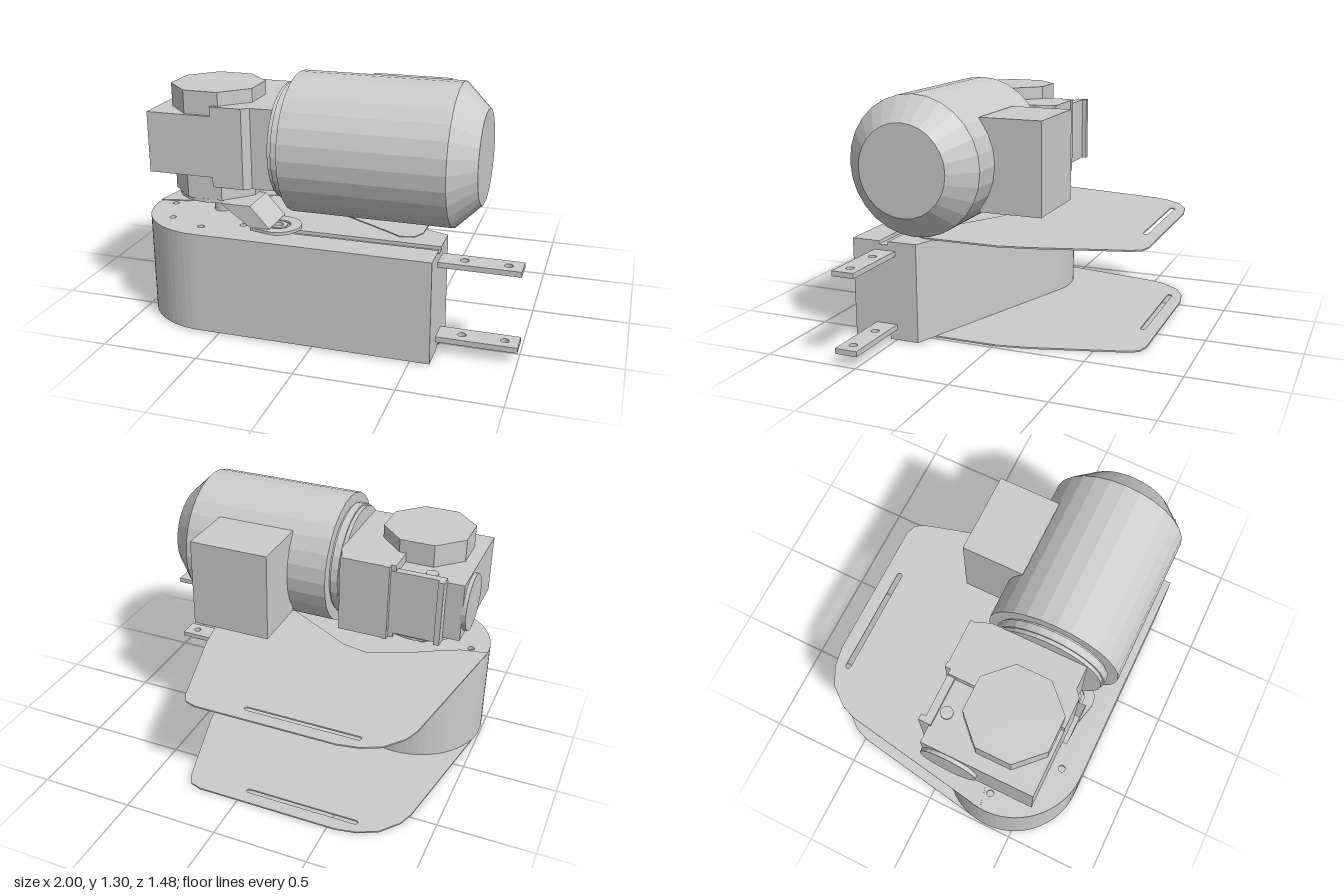
import * as THREE from 'three';

const grey = new THREE.MeshStandardMaterial({ color: 0xcccccc, flatShading: true });
const AX = -0.62, AZ = 0.345, MOTOR_Y = 0.945;

export function createModel() {
  const model = new THREE.Group();

  const add = (name, geometry, parent = model) => {
    const mesh = new THREE.Mesh(geometry, grey);
    mesh.name = name;
    parent.add(mesh);
    return mesh;
  };
  // box from its min and max corners
  const box = (name, x0, x1, y0, y1, z0, z1, parent) => add(name,
    new THREE.BoxGeometry(x1 - x0, y1 - y0, z1 - z0)
      .translate((x0 + x1) / 2, (y0 + y1) / 2, (z0 + z1) / 2), parent);
  // plan outline (x, z) raised from y0 to y1
  const plan = (name, shape, y0, y1, parent) => add(name,
    new THREE.ExtrudeGeometry(shape, { depth: y1 - y0, bevelEnabled: false, curveSegments: 20 })
      .rotateX(Math.PI / 2).translate(0, y1, 0), parent);
  const polygon = (pts) => new THREE.Shape(pts.map(([x, z]) => new THREE.Vector2(x, z)));
  const circle = (x, z, r) => new THREE.Path().absarc(x, z, r, 0, Math.PI * 2, true);
  const slot = (x0, x1, z, r) => new THREE.Path()
    .absarc(x0, z, r, Math.PI / 2, Math.PI * 1.5, false)
    .absarc(x1, z, r, -Math.PI / 2, Math.PI / 2, false);
  // disc or rod along x
  const rodX = (name, r, x0, x1, y, z, sides, parent) => add(name,
    new THREE.CylinderGeometry(r, r, x1 - x0, sides)
      .rotateZ(Math.PI / 2).translate((x0 + x1) / 2, y, z), parent);

  // housing: round at one end, tapering to a flat end
  const housing = new THREE.Group();
  housing.name = 'housing';
  model.add(housing);
  const housingOutline = (grooved) => {
    const s = new THREE.Shape();
    s.moveTo(0.6, 0.37);
    if (grooved) {
      // groove open at the flat end
      s.lineTo(0.6, 0.53);
      s.lineTo(-0.33, 0.53);
      s.absarc(-0.33, 0.555, 0.025, Math.PI * 1.5, Math.PI / 2, true);
      s.lineTo(0.6, 0.58);
    }
    s.lineTo(0.6, 0.735);
    s.lineTo(-0.61, 0.735);
    s.absarc(-0.61, 0.35, 0.385, Math.PI / 2, Math.PI * 2 - 1.23, false);
    s.closePath();
    if (grooved) {
      for (const a of [45, 90, 135, 180]) {
        const t = a * Math.PI / 180;
        s.holes.push(circle(AX + 0.28 * Math.cos(t), AZ + 0.28 * Math.sin(t), 0.018));
      }
    }
    return s;
  };
  plan('housingCore', housingOutline(false), 0.025, 0.515, housing);
  plan('housingTop', housingOutline(true), 0.515, 0.533, housing);
  plan('housingBottom', housingOutline(true), 0.006, 0.025, housing);

  // guard plates with an adjusting slot
  const plate = polygon([
    [-0.995, 0.33], [-0.86, -0.49], [-0.83, -0.57], [-0.75, -0.67], [-0.65, -0.72],
    [-0.54, -0.74], [0.22, -0.74], [0.28, -0.72], [0.31, -0.67], [0.45, -0.18],
    [0.48, -0.02], [0.48, 0.39], [0.45, 0.45], [0.38, 0.47], [0.3, 0.42],
    [-0.25, 0.1], [-0.4, 0.07], [-0.62, 0.17], [-0.7, 0.22], [-0.85, 0.3],
  ]);
  plate.holes.push(slot(-0.62, -0.03, -0.655, 0.014));
  plan('upperGuardPlate', plate, 0.53, 0.538);
  plan('lowerGuardPlate', plate, 0, 0.008);

  // torque arms with two bolt holes each
  const arm = polygon([[0.55, 0.49], [1, 0.49], [1, 0.61], [0.55, 0.61]]);
  for (const x of [0.72, 0.93]) arm.holes.push(circle(x, 0.55, 0.021));
  plan('upperArm', arm, 0.458, 0.485);
  plan('lowerArm', arm, 0.062, 0.09);

  // output shaft with collar
  add('outputShaft', new THREE.CylinderGeometry(0.047, 0.047, 0.16, 20).translate(AX, 0.61, AZ));
  add('shaftCollar', new THREE.CylinderGeometry(0.22, 0.22, 0.02, 24).translate(AX, 0.652, AZ));

  // bent bracket and its rounded foot
  const bend = polygon([[-0.52, 0.66], [-0.36, 0.66], [-0.26, 0.55], [-0.26, 0.535],
    [-0.36, 0.545], [-0.5, 0.645]]);
  add('bracket', new THREE.ExtrudeGeometry(bend, { depth: 0.22, bevelEnabled: false })
    .translate(0, 0, 0.38));
  const foot = new THREE.Shape();
  foot.moveTo(-0.36, 0.4);
  foot.lineTo(-0.24, 0.4);
  foot.absarc(-0.24, 0.515, 0.115, -Math.PI / 2, Math.PI / 2, false);
  foot.lineTo(-0.36, 0.6);
  foot.closePath();
  foot.holes.push(circle(-0.24, 0.515, 0.06));
  plan('bracketFoot', foot, 0.533, 0.548);
  const ring = new THREE.Shape().absarc(-0.24, 0.515, 0.045, 0, Math.PI * 2, false);
  ring.holes.push(circle(-0.24, 0.515, 0.022));
  plan('footBush', ring, 0.533, 0.548);

  // gearbox
  const gearbox = new THREE.Group();
  gearbox.name = 'gearbox';
  model.add(gearbox);
  box('gearCase', -0.91, -0.5, 0.785, 1.1, -0.01, 0.58, gearbox);
  plan('gearNeck', polygon([[-0.565, -0.035], [-0.565, 0.58], [-0.4, 0.58], [-0.365, 0.55],
    [-0.245, 0.55], [-0.245, 0.04], [-0.275, -0.035]]), 0.735, 1.15, gearbox);
  for (const [name, y] of [['upperCap', 1.155], ['lowerCap', 0.725]]) {
    add(name, new THREE.CylinderGeometry(0.24, 0.24, 0.13, 8)
      .rotateY(Math.PI / 8).translate(AX, y, AZ - 0.005), gearbox);
  }
  rodX('bearingCap', 0.15, -0.93, -0.9, 0.94, 0.135, 24, gearbox);
  add('fillerPlug', new THREE.CylinderGeometry(0.032, 0.032, 0.02, 16)
    .translate(-0.73, 1.1, 0.04), gearbox);
  box('drainLug', -0.87, -0.815, 0.768, 0.8, 0.1, 0.16, gearbox);
  // stepped covers on the rear face
  box('rearPanel', -0.82, -0.51, 0.765, 1.12, -0.04, 0, gearbox);
  box('rearRib', -0.82, -0.79, 0.765, 1.12, -0.065, -0.03, gearbox);
  box('rearCover', -0.51, -0.275, 0.735, 1.15, -0.06, 0, gearbox);
  box('rearRib', -0.54, -0.51, 0.735, 1.15, -0.065, -0.02, gearbox);

  // motor: flange, body, tapered fan cover
  const motor = new THREE.Group();
  motor.name = 'motor';
  model.add(motor);
  rodX('motorFlange', 0.295, -0.245, -0.17, MOTOR_Y, AZ, 28, motor);
  rodX('motorRim', 0.305, -0.225, -0.185, MOTOR_Y, AZ, 28, motor);
  const profile = [[0, -0.175], [0.358, -0.175], [0.358, 0.645], [0.235, 0.77], [0, 0.77]]
    .map(([r, x]) => new THREE.Vector2(r, x));
  add('motorBody', new THREE.LatheGeometry(profile, 28)
    .rotateZ(-Math.PI / 2).translate(0, MOTOR_Y, AZ), motor);
  box('terminalBox', 0.04, 0.47, 0.7, 1.18, -0.26, 0.07, motor);

  return model;
}
